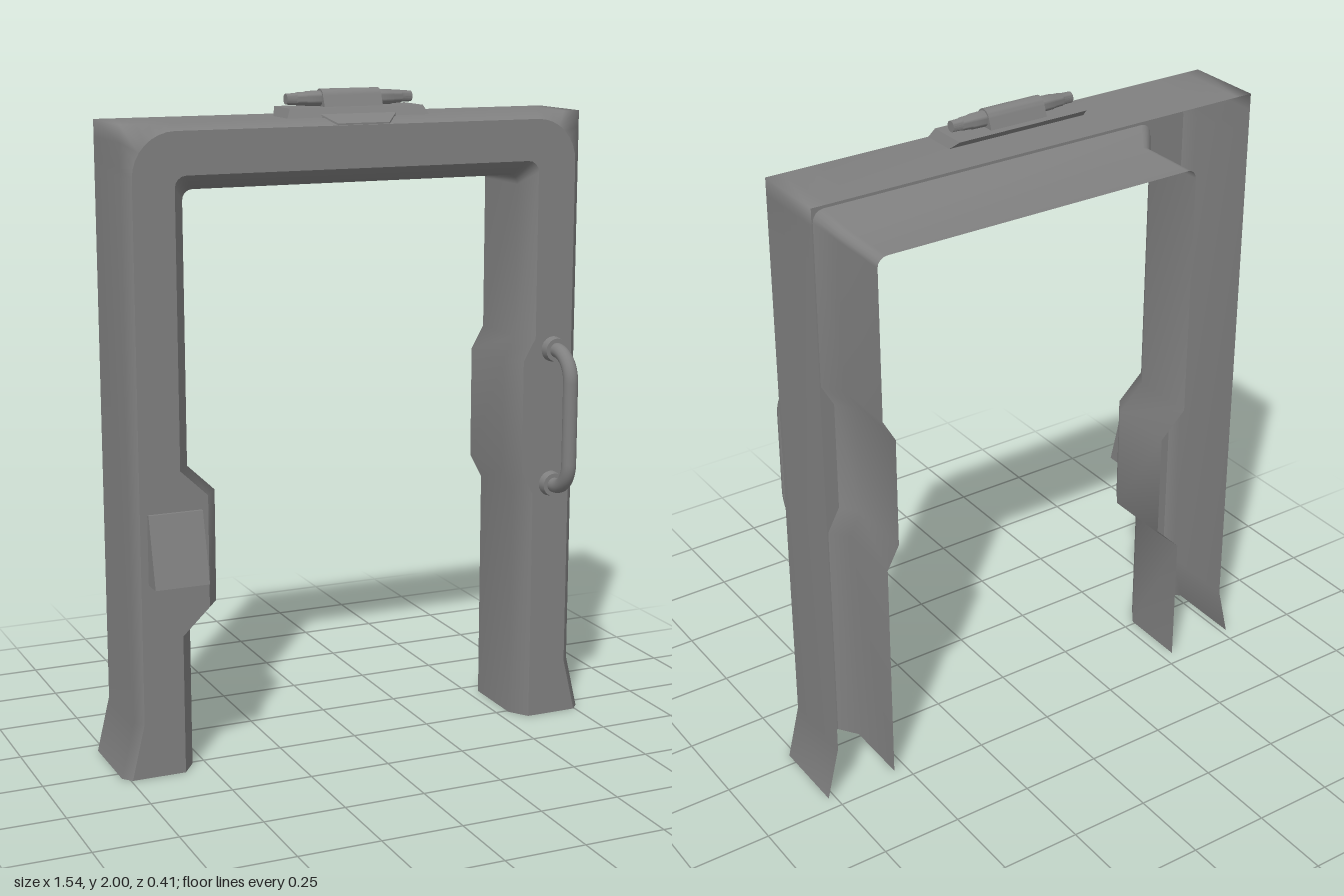
import * as THREE from 'three';
import { toCreasedNormals } from 'three/addons/utils/BufferGeometryUtils.js';

const darkGrey = new THREE.MeshStandardMaterial({ color: 0x808080, side: THREE.DoubleSide });
const FRONT = 0.068, BACK = -0.204;
const ARC_STEPS = 8;

function add(group, name, geometry) {
  const mesh = new THREE.Mesh(geometry, darkGrey);
  mesh.name = name;
  group.add(mesh);
  return mesh;
}

// Smooth surface lofted through rows of [x, y, z] points of equal length
function loft(rows, flip) {
  const n = rows[0].length, index = [];
  for (let j = 0; j < rows.length - 1; j++) {
    for (let i = 0; i < n - 1; i++) {
      const a = j * n + i, b = a + 1, c = a + n, d = c + 1;
      if (flip) index.push(a, b, c, b, d, c);
      else index.push(a, c, b, b, c, d);
    }
  }
  const g = new THREE.BufferGeometry();
  g.setAttribute('position', new THREE.Float32BufferAttribute(rows.flat(2), 3));
  g.setIndex(index);
  g.computeVertexNormals();
  return g;
}

// Profile of [z, y] points extruded along x
function extrudeX(points, x0, x1) {
  const shape = new THREE.Shape(points.map(p => new THREE.Vector2(...p)));
  const g = new THREE.ExtrudeGeometry(shape, { depth: x1 - x0, bevelEnabled: false });
  return g.rotateY(-Math.PI / 2).translate(x1, 0, 0);
}

// Narrows the vertices picked by a test on (y, z)
function taperX(g, factor, test) {
  const p = g.attributes.position;
  for (let i = 0; i < p.count; i++) if (test(p.getY(i), p.getZ(i))) p.setX(i, p.getX(i) * factor);
  g.computeVertexNormals();
  return g;
}

const mirror = pts => pts.map(([x, y]) => [-x, y]).reverse();
const atZ = (pts, z) => pts.map(([x, y]) => [x, y, z]);

// Outer outline; the corner is an arc, or a square matched to it point by point
function outerOutline(x, top, square) {
  const pts = [[x + 0.04, 0], [x, 0.17]];
  const w = x - 0.575, h = top - 1.77;
  for (let i = 0; i <= ARC_STEPS; i++) {
    const t = (i / ARC_STEPS) * Math.PI / 2;
    const m = square ? Math.max(Math.cos(t), Math.sin(t)) : 1;
    pts.push([0.575 + w * Math.cos(t) / m, 1.77 + h * Math.sin(t) / m]);
  }
  return [...pts, ...mirror(pts)];
}

// Opening outline with a bulge on each leg
function opening(x, top, r) {
  const corner = [];
  for (let i = 0; i <= 4; i++) {
    const t = (i / 4) * Math.PI / 2;
    corner.push([x - r + r * Math.cos(t), top - r + r * Math.sin(t)]);
  }
  const leftBulge = [[x, 0.735], [x - 0.04, 0.81], [x - 0.04, 1.16], [x, 1.23]];
  const rightBulge = [[-x, 0.925], [-x + 0.084, 0.845], [-x + 0.084, 0.505], [-x, 0.425]];
  return [[x, 0], ...leftBulge, ...corner, ...mirror(corner), ...rightBulge, [-x, 0]];
}

function buildFrame() {
  const frame = new THREE.Group();
  frame.name = 'doorFrame';
  const outF = outerOutline(0.705, 1.9, false), outW = outerOutline(0.73, 1.92, true);
  const inF = opening(0.58, 1.775, 0.035), inW = opening(0.539, 1.73, 0.03);

  const outline = [...outF, ...inF.slice().reverse()].map(p => new THREE.Vector2(...p));
  add(frame, 'frontFace', new THREE.ShapeGeometry(new THREE.Shape(outline)).translate(0, 0, FRONT));
  add(frame, 'outerWall', loft([atZ(outF, FRONT), atZ(outW, 0.04), atZ(outW, BACK)], false));
  add(frame, 'innerWall', loft([atZ(inF, FRONT), atZ(inW, 0.01), atZ(inW, BACK)], true));
  return frame;
}

function buildHandle() {
  const handle = new THREE.Group();
  handle.name = 'grabHandle';
  const x = 0.641, z = 0.182, y0 = 0.765, y1 = 1.193, r = 0.085;
  const k = r * 0.45; // control offset for round bends
  const v = (y, zz) => new THREE.Vector3(x, y, zz);
  const path = new THREE.CurvePath();
  path.add(new THREE.LineCurve3(v(y0, FRONT), v(y0, z - r)));
  path.add(new THREE.CubicBezierCurve3(v(y0, z - r), v(y0, z - k), v(y0 + k, z), v(y0 + r, z)));
  path.add(new THREE.LineCurve3(v(y0 + r, z), v(y1 - r, z)));
  path.add(new THREE.CubicBezierCurve3(v(y1 - r, z), v(y1 - k, z), v(y1, z - k), v(y1, z - r)));
  path.add(new THREE.LineCurve3(v(y1, z - r), v(y1, FRONT)));
  add(handle, 'handleBar', new THREE.TubeGeometry(path, 64, 0.023, 16));
  for (const y of [y0, y1]) {
    const flange = add(handle, 'handleFlange', new THREE.CylinderGeometry(0.036, 0.04, 0.026, 20));
    flange.rotation.x = Math.PI / 2;
    flange.position.set(x, y, FRONT + 0.012);
  }
  return handle;
}

function buildTopFitting() {
  const fitting = new THREE.Group();
  fitting.name = 'topFitting';

  // Base plate with sloped ends and front, and a tongue over the bevel
  const plate = extrudeX(
    [[0.035, 1.922], [0.02, 1.949], [-0.105, 1.949], [-0.072, 1.922]], -0.225, 0.225);
  add(fitting, 'basePlate', taperX(plate, 0.94, y => y > 1.94));
  const tongue = extrudeX([[0.03, 1.923], [0.03, 1.931], [0.069, 1.906], [0.069, 1.901]], -0.12, 0.12);
  add(fitting, 'plateTongue', taperX(tongue, 0.68, (y, z) => z > 0.05));

  // Round-topped saddle holding the rod
  const saddle = [[-0.082, 1.947]];
  for (let i = 0; i <= 12; i++) {
    const t = Math.PI * (0.92 - 0.84 * i / 12);
    saddle.push([-0.042 + 0.028 * Math.cos(t), 1.972 + 0.028 * Math.sin(t)]);
  }
  saddle.push([-0.002, 1.947]);
  add(fitting, 'saddle', toCreasedNormals(extrudeX(saddle, -0.093, 0.093), 0.9));

  // Stepped rod ends, mirrored
  const profile = [[0.023, 0.09], [0.022, 0.135], [0.02, 0.14], [0.019, 0.165], [0.017, 0.17],
    [0.016, 0.2], [0, 0.2]].map(q => new THREE.Vector2(...q));
  for (const s of [1, -1]) {
    const rod = add(fitting, 'rodEnd', toCreasedNormals(new THREE.LatheGeometry(profile, 20), 0.9));
    rod.rotation.z = -s * Math.PI / 2;
    rod.position.set(0, 1.972, -0.042);
  }
  return fitting;
}

export function createModel() {
  const model = new THREE.Group();
  model.name = 'doorway';
  model.add(buildFrame(), buildHandle(), buildTopFitting());
  // Sloped control panel on the right leg
  add(model, 'controlPanel', extrudeX(
    [[0.069, 0.595], [0.132, 0.595], [0.08, 0.805], [0.069, 0.805]], -0.683, -0.517));
  return model;
}
